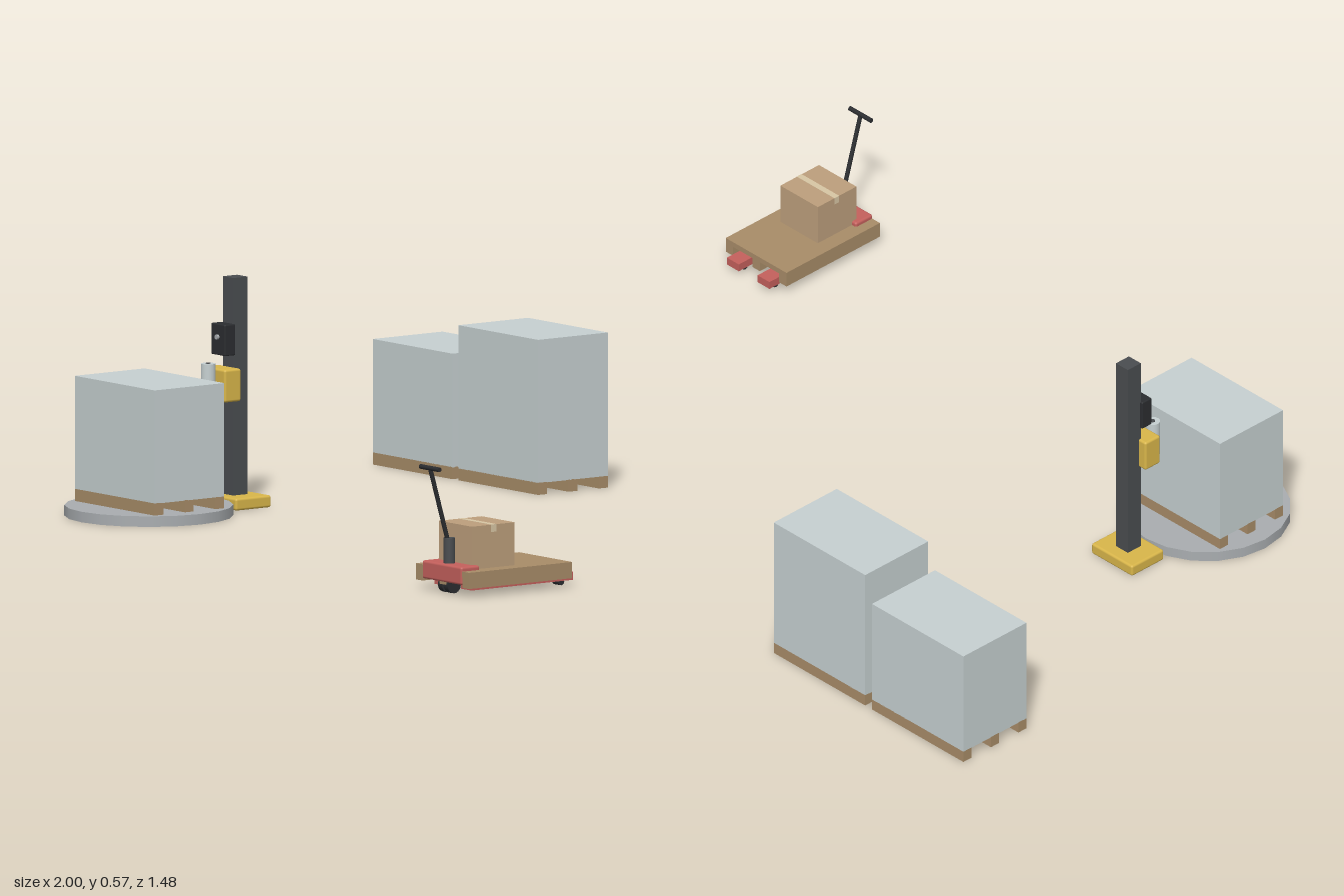
import * as THREE from 'three';
import { RoundedBoxGeometry } from 'three/addons/geometries/RoundedBoxGeometry.js';

const mat = (color) => new THREE.MeshStandardMaterial({ color });
const film = mat(0xc6d0d1), wood = mat(0xa88c68), card = mat(0xbd9f7c), tape = mat(0xd8c6a4);
const yellow = mat(0xd9b64a), dark = mat(0x4a4d50), black = mat(0x2b2d30);
const red = mat(0xc4605c), steel = mat(0xa9adb0);

function add(parent, name, geo, material) {
  const m = new THREE.Mesh(geo, material);
  m.name = name;
  parent.add(m);
  return m;
}

// Box given by its extents on each axis; a radius rounds its edges
function box(parent, name, material, [x0, x1], [y0, y1], [z0, z1], radius = 0) {
  const s = [x1 - x0, y1 - y0, z1 - z0];
  const geo = radius ? new RoundedBoxGeometry(...s, 2, radius) : new THREE.BoxGeometry(...s);
  const m = add(parent, name, geo, material);
  m.position.set((x0 + x1) / 2, (y0 + y1) / 2, (z0 + z1) / 2);
  return m;
}

function cyl(parent, name, material, r, h, [x, y, z], axis = 'y', sides = 20) {
  const geo = new THREE.CylinderGeometry(r, r, h, sides);
  if (axis === 'x') geo.rotateZ(Math.PI / 2);
  if (axis === 'z') geo.rotateX(Math.PI / 2);
  const m = add(parent, name, geo, material);
  m.position.set(x, y, z);
  return m;
}

// Round bar between two points
function bar(parent, name, material, r, a, b) {
  const path = new THREE.LineCurve3(new THREE.Vector3(...a), new THREE.Vector3(...b));
  add(parent, name, new THREE.TubeGeometry(path, 1, r, 12), material);
}

// Wrapped goods on three long runners
function wrappedPallet(name, x, y, z, top) {
  const g = new THREE.Group();
  g.name = name;
  const w = 0.161, d = 0.107;
  for (const c of [-0.0935, 0, 0.0935])
    box(g, 'palletRunner', wood, [-w, w], [0, 0.03], [c - 0.0135, c + 0.0135]);
  box(g, 'wrappedLoad', film, [-w, w], [0.029, top - y], [-d, d]);
  g.position.set(x, y, z);
  return g;
}

function wrapper() {
  const g = new THREE.Group();
  g.name = 'stretchWrapper';
  const x = -0.627;
  cyl(g, 'turntable', steel, 0.207, 0.026, [x, 0.013, 0.445]);
  g.add(wrappedPallet('turntablePallet', x, 0.026, 0.443, 0.335));
  // Base and mast
  box(g, 'mastBase', yellow, [x - 0.072, x + 0.072], [0, 0.03], [0.123, 0.232], 0.006);
  box(g, 'mast', dark, [x - 0.021, x + 0.021], [0.028, 0.567], [0.158, 0.202]);
  // Film carriage and roll
  box(g, 'filmCarriage', yellow, [x - 0.045, x + 0.045], [0.265, 0.346], [0.195, 0.246], 0.006);
  cyl(g, 'filmRoll', film, 0.018, 0.094, [x, 0.312, 0.263]);
  cyl(g, 'rollCore', dark, 0.006, 0.097, [x, 0.312, 0.263]);
  // Control unit
  box(g, 'controlBox', black, [x - 0.028, x + 0.028], [0.377, 0.454], [0.2, 0.233], 0.003);
  cyl(g, 'controlKnob', steel, 0.006, 0.008, [x, 0.422, 0.235], 'z');
  return g;
}

function palletTruck() {
  const g = new THREE.Group();
  g.name = 'palletTruck';
  const x = 0.892;
  // Pallet and carton carried on the forks
  for (const c of [-0.094, 0, 0.094])
    box(g, 'palletRunner', wood, [x + c - 0.013, x + c + 0.013], [0.022, 0.05], [0.38, 0.697]);
  box(g, 'palletDeck', wood, [x - 0.107, x + 0.107], [0.048, 0.062], [0.38, 0.697]);
  box(g, 'carton', card, [x - 0.066, x + 0.066], [0.061, 0.168], [0.526, 0.657]);
  box(g, 'cartonTape', tape, [x - 0.0665, x + 0.0665], [0.15, 0.1685], [0.582, 0.598]);
  // Forks with load rollers
  for (const s of [-1, 1]) {
    const c = x + s * 0.054;
    box(g, 'fork', red, [c - 0.021, c + 0.021], [0.012, 0.032], [0.353, 0.665]);
    cyl(g, 'loadRoller', black, 0.009, 0.026, [c, 0.009, 0.383], 'x', 16);
  }
  // Body, steering wheels and pump
  box(g, 'truckBody', red, [x - 0.08, x + 0.08], [0.028, 0.073], [0.642, 0.7], 0.006);
  for (const s of [-1, 1])
    cyl(g, 'steerWheel', black, 0.02, 0.016, [x + s * 0.012, 0.02, 0.676], 'x');
  cyl(g, 'pumpColumn', dark, 0.014, 0.065, [x, 0.103, 0.676]);
  // Tiller and grip
  bar(g, 'tiller', black, 0.0055, [x, 0.125, 0.68], [x, 0.312, 0.735]);
  cyl(g, 'grip', black, 0.006, 0.076, [x, 0.312, 0.735], 'x', 12);
  return g;
}

export function createModel() {
  const model = new THREE.Group();
  model.name = 'palletWrappingStation';
  model.add(
    wrapper(),
    palletTruck(),
    wrappedPallet('lowPallet', -0.839, 0, -0.633, 0.31),
    wrappedPallet('tallPallet', -0.493, 0, -0.633, 0.383),
  );
  return model;
}
